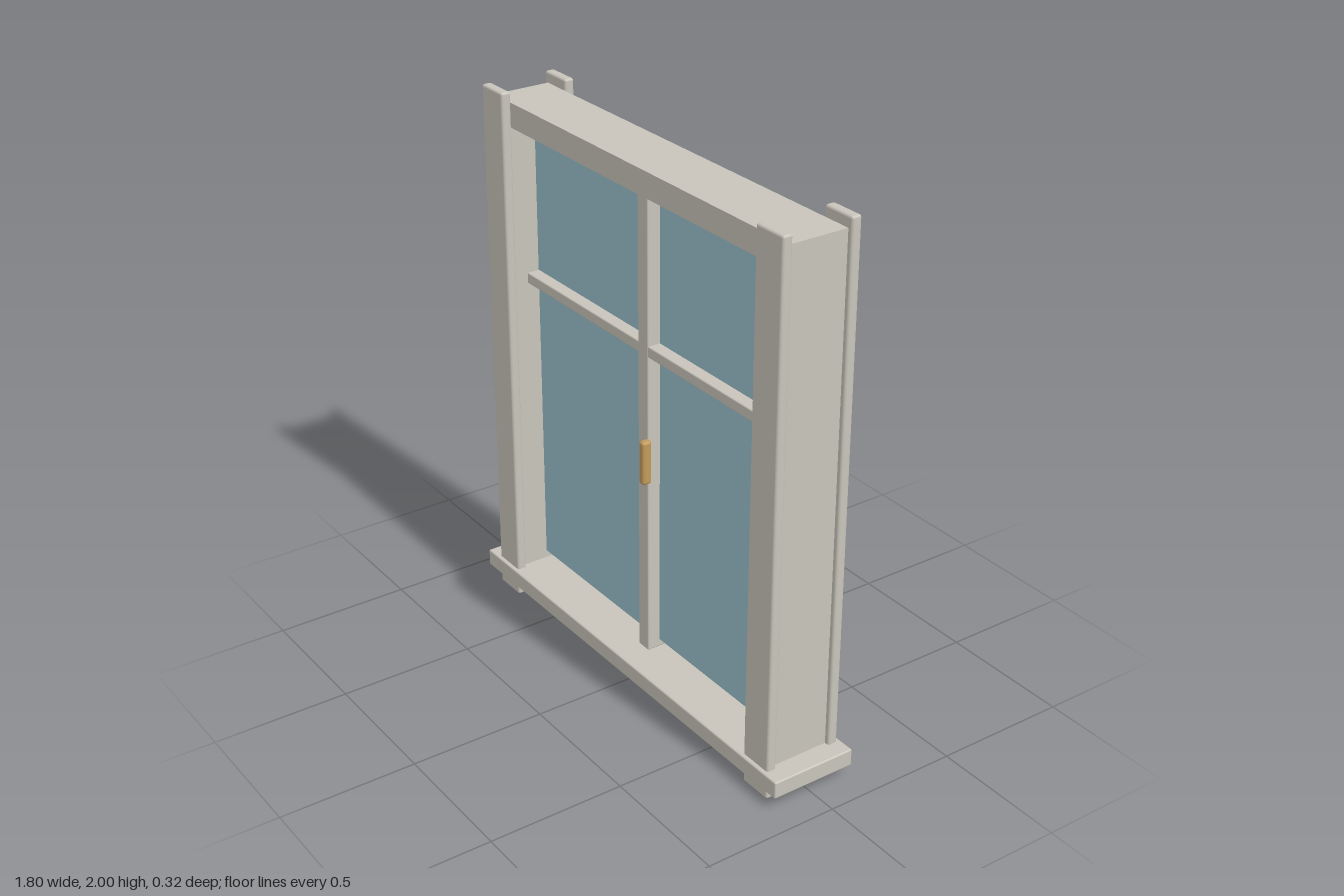
import * as THREE from 'three';
import { RoundedBoxGeometry } from 'three/addons/geometries/RoundedBoxGeometry.js';

function material(name, color) {
  const m = new THREE.MeshStandardMaterial({ color });
  m.name = name;
  return m;
}

export function createModel() {
  const wood = material('paintedWood', 0xc8c4ba);
  const pane = material('glassBlue', 0x9ac1cc);
  const brass = material('brass', 0xc19a5b);

  const model = new THREE.Group();
  model.name = 'window';

  function add(name, geometry, mat, x = 0, y = 0, z = 0) {
    const mesh = new THREE.Mesh(geometry, mat);
    mesh.name = name;
    mesh.position.set(x, y, z);
    model.add(mesh);
  }

  // Box given by its limits, with softened edges when a radius is set
  function slab(name, mat, [x0, x1], [y0, y1], [z0, z1], radius = 0) {
    const size = [x1 - x0, y1 - y0, z1 - z0];
    const geometry = radius
      ? new RoundedBoxGeometry(...size, 2, radius)
      : new THREE.BoxGeometry(...size);
    add(name, geometry, mat, (x0 + x1) / 2, (y0 + y1) / 2, (z0 + z1) / 2);
  }

  // Deep casing: two jambs and a header in one piece
  const casing = new THREE.Shape([
    [-0.82, 0.1], [-0.725, 0.1], [-0.725, 1.87], [0.725, 1.87],
    [0.725, 0.1], [0.82, 0.1], [0.82, 1.96], [-0.82, 1.96],
  ].map(([x, y]) => new THREE.Vector2(x, y)));
  add('casing', new THREE.ExtrudeGeometry(casing, { depth: 0.22, bevelEnabled: false }),
    wood, 0, 0, -0.11);

  // Sill
  slab('sill', wood, [-0.9, 0.9], [0.047, 0.112], [-0.162, 0.162], 0.006);

  // Vertical trim boards, front and back, running down through the sill
  for (const [xName, sx] of [['left', 1], ['right', -1]]) {
    for (const [zName, sz] of [['Front', 1], ['Back', -1]]) {
      const x = [0.708 * sx, 0.838 * sx].sort((a, b) => a - b);
      const z = [0.11 * sz, 0.147 * sz].sort((a, b) => a - b);
      slab(`${xName}${zName}Trim`, wood, x, [0, 2], z, 0.009);
    }
  }

  // Glass, stopping just above the sill
  slab('glass', pane, [-0.725, 0.725], [0.142, 1.88], [-0.008, 0.008]);

  // Glazing bars
  slab('mullion', wood, [-0.029, 0.029], [0.112, 1.87], [-0.057, 0.057], 0.005);
  slab('crossBar', wood, [-0.727, 0.727], [1.271, 1.312], [-0.055, 0.055], 0.005);

  // Handle
  slab('handle', brass, [0.056, 0.086], [0.827, 0.992], [0.078, 0.116], 0.011);

  return model;
}
